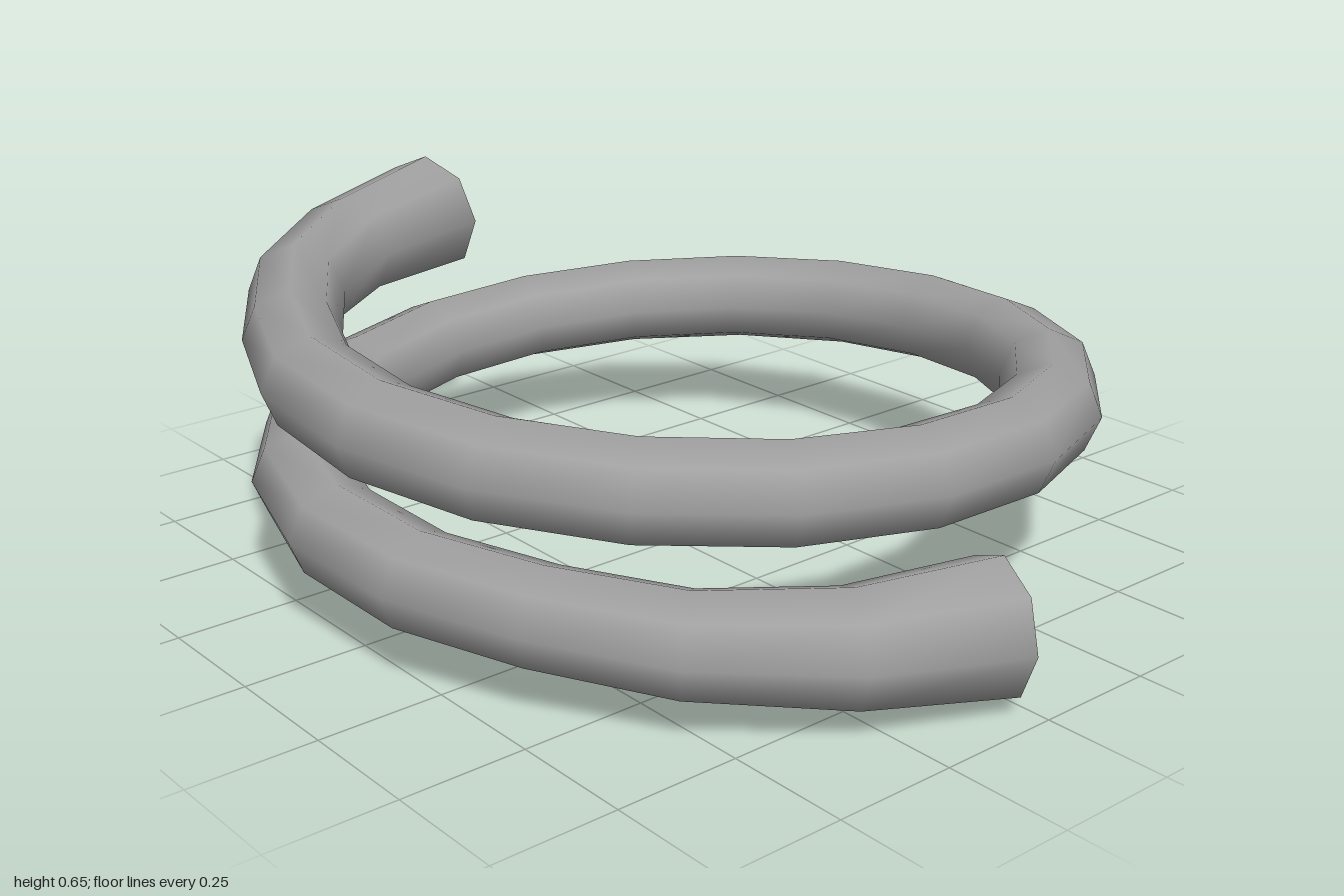
import * as THREE from 'three';

const SIDES = 8;
const STEPS = 28;            // segments over one and a half turns
const TURN = Math.PI * 3;

// Coil radius and tube radius over the last rings at each end; constant in between
const COIL = [0.873, 0.835, 0.795, 0.751];
const TUBE = [0.133, 0.112, 0.1, 0.097];

const endIndex = (i) => Math.min(i, STEPS - i, 3);

// Helix centre line, rising from the left end to the right end
function centre(i) {
  const a = (i / STEPS) * TURN;
  const r = COIL[endIndex(i)];
  return new THREE.Vector3(r * Math.cos(a), 0.133 + 0.384 * (i / STEPS), r * Math.sin(a));
}

// One octagonal cross-section, square to the centre line
function ring(i) {
  const c = centre(i);
  const t = centre(Math.min(i + 1, STEPS)).sub(centre(Math.max(i - 1, 0))).normalize();
  const out = new THREE.Vector3(0, 1, 0).cross(t).normalize();
  const up = t.clone().cross(out);
  const r = TUBE[endIndex(i)];
  return Array.from({ length: SIDES }, (_, j) => {
    const a = (j / SIDES) * Math.PI * 2;
    return c.clone().addScaledVector(out, r * Math.cos(a)).addScaledVector(up, r * Math.sin(a));
  });
}

function makeMesh(name, points, index, material) {
  const geometry = new THREE.BufferGeometry().setFromPoints(points);
  geometry.setIndex(index);
  geometry.computeVertexNormals();
  const mesh = new THREE.Mesh(geometry, material);
  mesh.name = name;
  return mesh;
}

export function createModel() {
  const group = new THREE.Group();
  group.name = 'spiralRing';
  const material = new THREE.MeshStandardMaterial({ color: 0xa0a0a0 });

  // Coiled band
  const points = [];
  const index = [];
  for (let i = 0; i <= STEPS; i++) {
    points.push(...ring(i));
    if (i === STEPS) break;
    for (let j = 0; j < SIDES; j++) {
      const k = (j + 1) % SIDES;
      const a = i * SIDES + j, b = i * SIDES + k;
      index.push(a, b, a + SIDES, b, b + SIDES, a + SIDES);
    }
  }
  group.add(makeMesh('coil', points, index, material));

  // Flat caps on the flared ends
  for (const [name, i] of [['lowerEndCap', 0], ['upperEndCap', STEPS]]) {
    const faces = [];
    for (let j = 1; j < SIDES - 1; j++) faces.push(...(i === 0 ? [0, j + 1, j] : [0, j, j + 1]));
    group.add(makeMesh(name, ring(i), faces, material));
  }
  return group;
}
